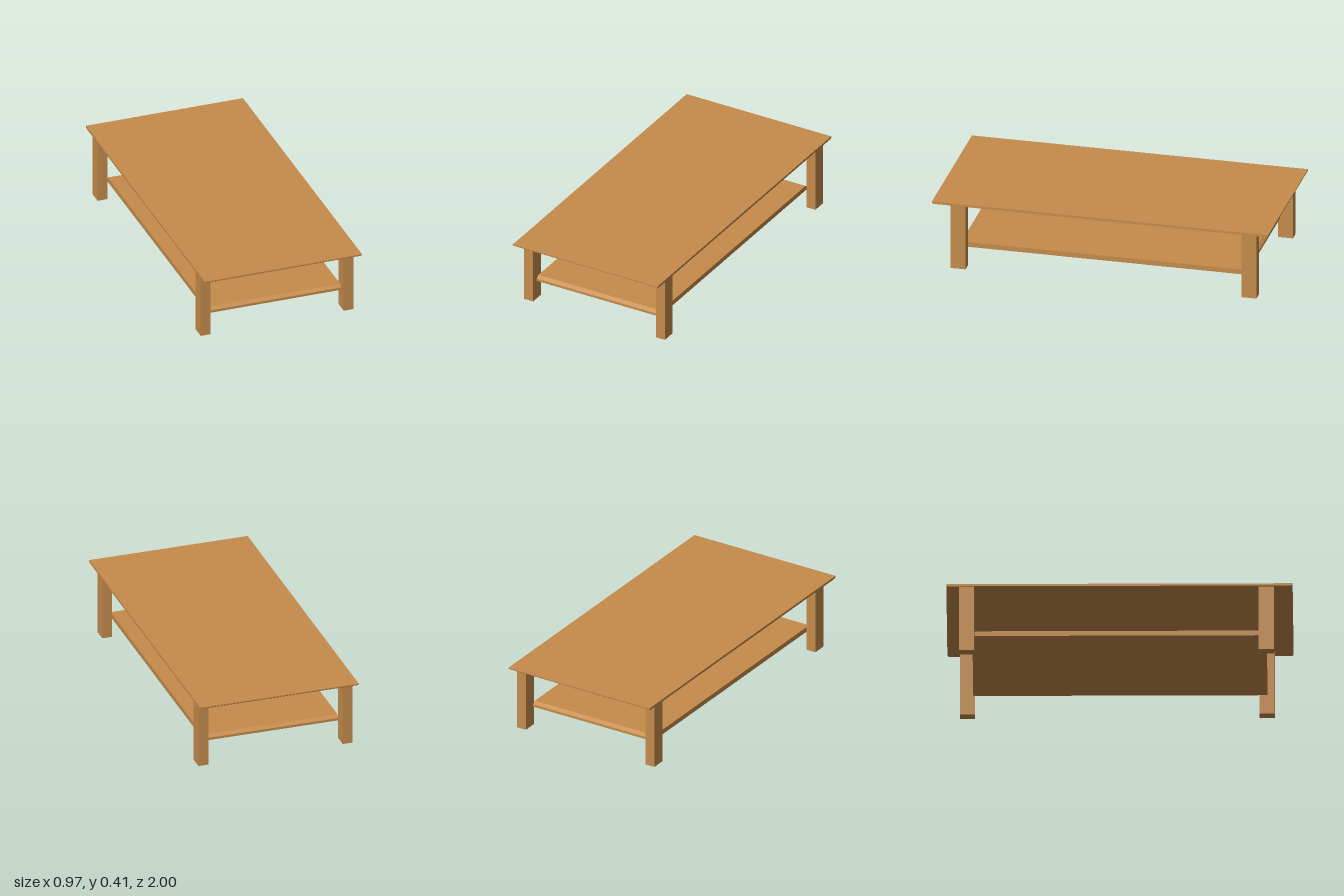
import * as THREE from 'three';

const wood = new THREE.MeshStandardMaterial({ color: 0xc68c4c, flatShading: true });

// Board whose side profile (z, y points, counter-clockwise) is swept across the width in x
function board(name, profile, width) {
  const shape = new THREE.Shape(profile.map(([z, y]) => new THREE.Vector2(-z, y)));
  const geo = new THREE.ExtrudeGeometry(shape, { depth: width, bevelEnabled: false });
  geo.translate(0, 0, -width / 2);
  geo.rotateY(Math.PI / 2);
  const mesh = new THREE.Mesh(geo, wood);
  mesh.name = name;
  return mesh;
}

export function createModel() {
  const table = new THREE.Group();
  table.name = 'coffeeTable';

  // Thin top with a slightly undercut edge at both ends
  table.add(board('tableTop', [
    [-0.99, 0.4], [0.99, 0.4], [1, 0.407], [1, 0.414], [-1, 0.414], [-1, 0.407],
  ], 0.966));

  // Lower shelf between the legs, its end edges bevelled on top
  table.add(board('shelf', [
    [-0.85, 0.117], [0.85, 0.117], [0.85, 0.132], [0.83, 0.147], [-0.83, 0.147], [-0.85, 0.132],
  ], 0.82));

  // Four square-cut legs; the rear pair stands a little further out
  const legGeo = new THREE.BoxGeometry(0.06, 0.4, 0.088);
  for (const [end, z] of [['front', 0.847], ['back', -0.883]]) {
    for (const [side, x] of [['Left', 0.44], ['Right', -0.44]]) {
      const leg = new THREE.Mesh(legGeo, wood);
      leg.name = `${end}${side}Leg`;
      leg.position.set(x, 0.2, z);
      table.add(leg);
    }
  }
  return table;
}
